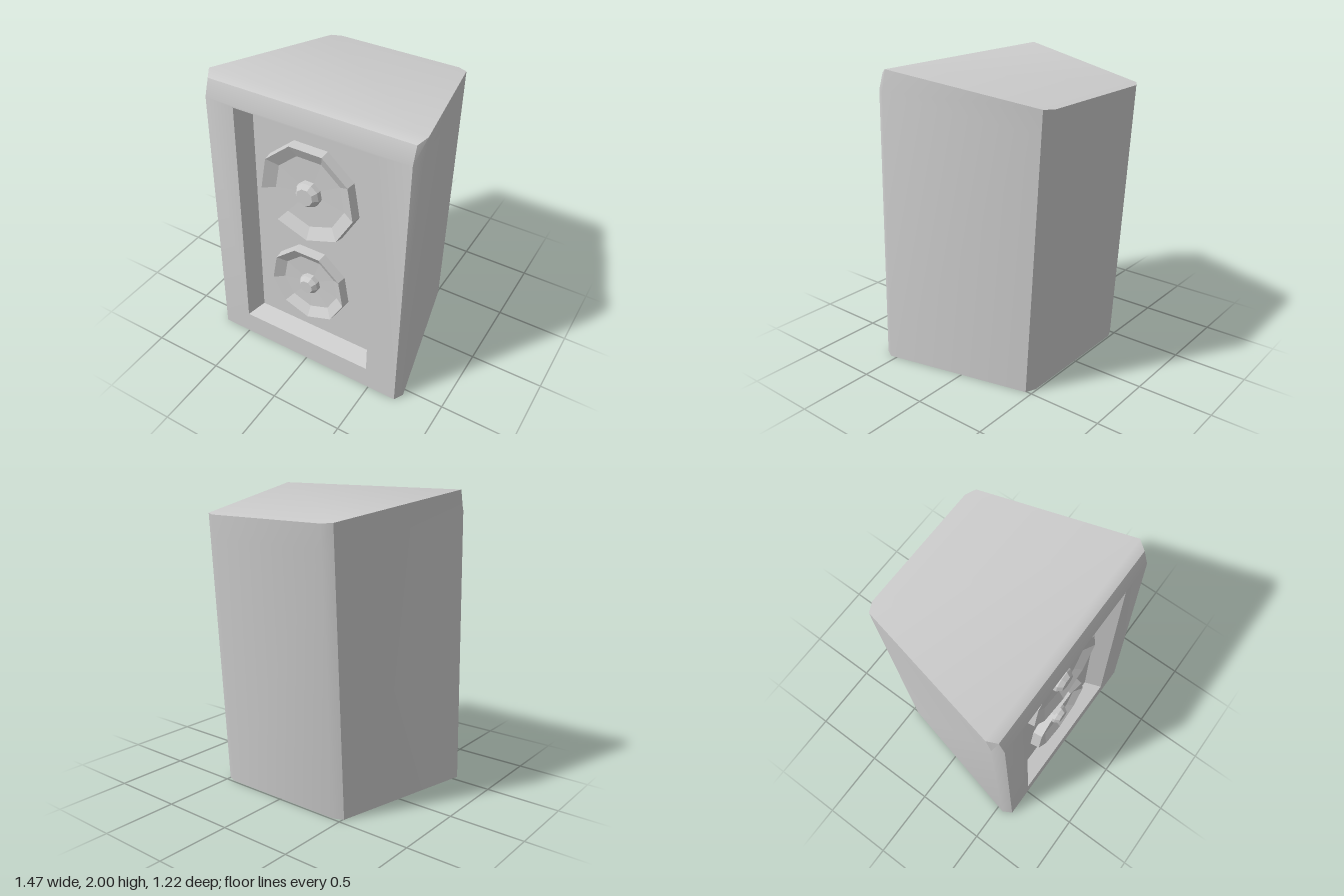
import * as THREE from 'three';
import { toCreasedNormals } from 'three/addons/utils/BufferGeometryUtils.js';

const LEAN = 0.0405;                        // backward lean of the front
const frontZ = (y) => 0.61 - LEAN * y;
const DEPTH = 0.115;                        // depth of the front recess

// Faces are lists of corners, counter-clockwise from outside; each is fanned.
function facesToGeometry(faces, crease) {
  const pos = [];
  for (const f of faces) {
    for (let i = 1; i < f.length - 1; i++) pos.push(...f[0], ...f[i], ...f[i + 1]);
  }
  const g = new THREE.BufferGeometry();
  g.setAttribute('position', new THREE.Float32BufferAttribute(pos, 3));
  return toCreasedNormals(g, crease);
}

// Quads joining two loops of corners
function bridge(a, b, closed = true) {
  const quads = [];
  for (let i = 0; i < a.length - (closed ? 0 : 1); i++) {
    const j = (i + 1) % a.length;
    quads.push([a[i], a[j], b[j], b[i]]);
  }
  return quads;
}

const rect = (x0, x1, y0, y1, inset) =>
  [[x0, y0], [x1, y0], [x1, y1], [x0, y1]].map(([x, y]) => [x, y, frontZ(y) - inset]);

export function createModel() {
  const group = new THREE.Group();
  const material = new THREE.MeshStandardMaterial({ color: 0xcccccc });
  const add = (name, geometry, mat = material) => {
    const mesh = new THREE.Mesh(geometry, mat);
    mesh.name = name;
    group.add(mesh);
    return mesh;
  };

  // Cabinet corner columns: x, base z, lean, shoulder height, top y, top z
  const half = [
    [0.70, 0.61, LEAN, 1.86, 1.97, 0.495],
    [0.735, 0.545, LEAN, 1.86, 2.0, 0.435],
    [0.507, -0.46, 0.061, 1.7, 1.855, -0.573],
    [0.44, -0.49, 0.062, 1.7, 1.85, -0.607],
  ];
  const columns = [...half, ...half.map(([x, ...r]) => [-x, ...r]).reverse()];
  const base = columns.map(([x, z]) => [x, 0, z]);
  const shoulder = columns.map(([x, z, lean, y]) => [x, y, z - lean * y]);
  const top = columns.map(([x, , , , y, z]) => [x, y, z]);

  // Front opening and recess floor
  const outer = [base[7], base[0], shoulder[0], shoulder[7]];
  const opening = rect(-0.495, 0.478, 0.165, 1.848, 0);
  const floor = rect(-0.44, 0.42, 0.205, 1.775, DEPTH);

  add('cabinet', facesToGeometry([
    ...bridge(base, shoulder, false),
    ...bridge(shoulder, top),
    ...bridge(outer, opening),
    [top[7], top[0], top[1], top[6]],       // front top bevel
    top.slice(1, 7),                        // sloping lid
    [...base].reverse(),                    // underside
  ], 0.76));
  add('frontRecess', facesToGeometry([...bridge(opening, floor), floor], 0.5));

  // Nine-sided drivers: rim wall, shallow cone, central dome
  const flat = new THREE.MeshStandardMaterial({ color: 0xcccccc, flatShading: true });
  const drivers = [
    ['upperDriver', 1.35, 0.35, 0.09],
    ['lowerDriver', 0.622, 0.287, 0.074],
  ];
  for (const [name, y, r, hub] of drivers) {
    const profile = [
      [r, 0], [r * 0.97, 0.065], [r * 0.73, 0.025], [hub, 0.02],
      [hub * 0.95, 0.05], [hub * 0.65, 0.08], [0, 0.08],
    ].map(([px, py]) => new THREE.Vector2(px, py));
    const driver = add(name, new THREE.LatheGeometry(profile, 9), flat);
    driver.rotation.x = Math.PI / 2 - LEAN;
    driver.position.set(-0.02, y, frontZ(y) - DEPTH);
  }
  return group;
}
